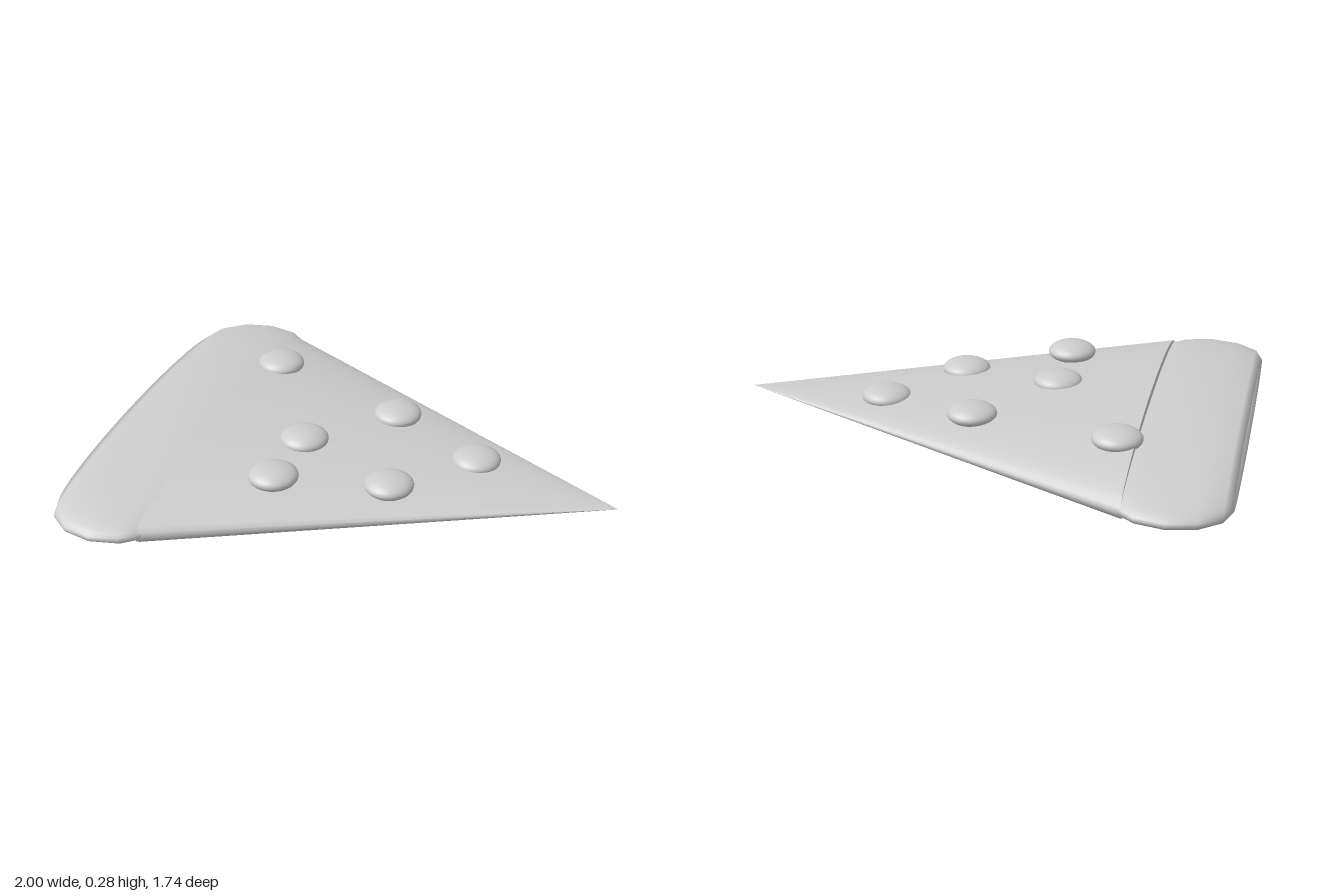
import * as THREE from 'three';

const MID = 0.13; // height of the slice's centre plane

export function createModel() {
  const group = new THREE.Group();
  group.name = 'pizzaSlice';
  const grey = new THREE.MeshStandardMaterial({ color: 0xcccccc });
  grey.name = 'plain light grey';

  const add = (name, geometry, x, y, z) => {
    const mesh = new THREE.Mesh(geometry, grey);
    mesh.name = name;
    mesh.position.set(x, y, z);
    group.add(mesh);
  };

  // Slice: a flattened cone pointing along +x
  const slice = new THREE.ConeGeometry(1, 1.62, 48);
  slice.rotateZ(-Math.PI / 2);
  slice.scale(1, 0.13, 0.8);
  add('slice', slice, 0.19, MID, 0);

  // Crust: a flattened ring around the wide end
  const crust = new THREE.TorusGeometry(0.69, 0.18, 12, 64);
  crust.rotateY(Math.PI / 2);
  crust.scale(1.22, 0.115, 1);
  add('crust', crust, -0.78, MID + 0.003, 0);

  // Block filling the hollow of the crust
  add('crustCore', new THREE.BoxGeometry(0.33, 0.09, 0.98), -0.785, 0.145, 0);

  // Toppings: flattened balls
  const topping = new THREE.SphereGeometry(0.096, 32, 16);
  topping.scale(1, 0.42, 1);
  const spots = [
    [-0.55, 0.238, -0.42], [0.03, 0.207, -0.25], [0.415, 0.175, -0.08],
    [-0.24, 0.228, 0.085], [0.163, 0.19, 0.225], [-0.243, 0.238, 0.385],
  ];
  for (const [x, y, z] of spots) add('topping', topping, x, y, z);

  return group;
}
